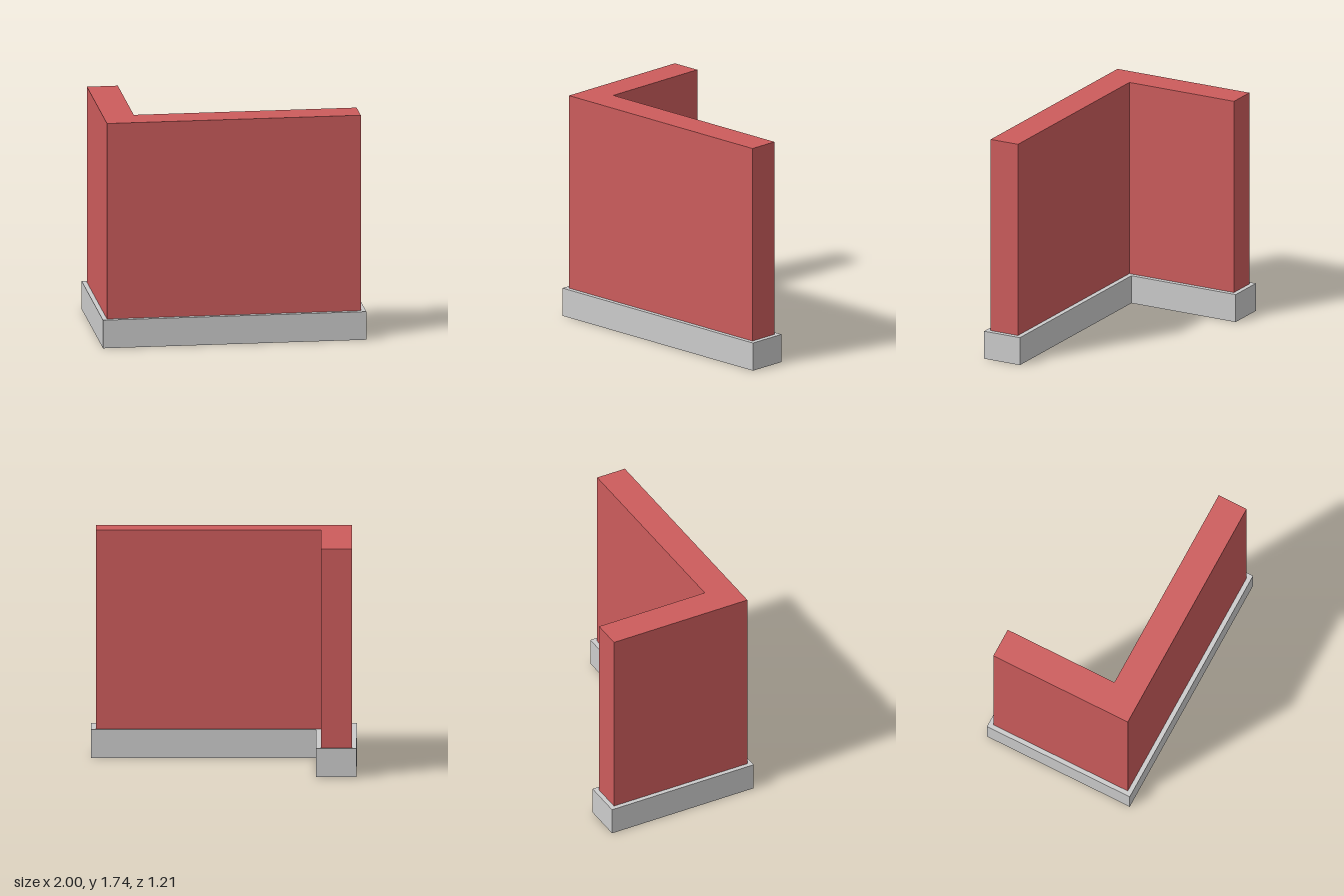
import * as THREE from 'three';
import { mergeGeometries } from 'three/addons/utils/BufferGeometryUtils.js';

// L-shaped outline as [x, z] corners, counter-clockwise seen from above
const lOutline = (x0, x1, zBack, zFront, xInner, zInner) => [
  [x0, zFront], [x1, zFront], [x1, zInner], [xInner, zInner], [xInner, zBack], [x0, zBack],
];

// Upright faces along a closed outline
function sides(outline, y0, y1) {
  return outline.map(([ax, az], i) => {
    const [bx, bz] = outline[(i + 1) % outline.length];
    return new THREE.PlaneGeometry(Math.hypot(bx - ax, bz - az), y1 - y0)
      .rotateY(Math.atan2(az - bz, bx - ax))
      .translate((ax + bx) / 2, (y0 + y1) / 2, (az + bz) / 2);
  });
}

// Horizontal face filling an outline, optionally with an opening
function cap(outline, y, opening) {
  const points = (o) => o.map(([x, z]) => new THREE.Vector2(x, -z));
  const shape = new THREE.Shape(points(outline));
  if (opening) shape.holes.push(new THREE.Path(points(opening)));
  return new THREE.ShapeGeometry(shape).rotateX(-Math.PI / 2).translate(0, y, 0);
}

function part(name, color, geometries) {
  const material = new THREE.MeshStandardMaterial({ color, side: THREE.DoubleSide });
  const mesh = new THREE.Mesh(mergeGeometries(geometries), material);
  mesh.name = name;
  return mesh;
}

export function createModel() {
  const group = new THREE.Group();
  group.name = 'cornerWall';

  const plinthTop = 0.218, wallTop = 1.735;
  const plinth = lOutline(-1, 1, -0.607, 0.607, -0.693, 0.297);
  const wall = lOutline(-0.965, 0.962, -0.571, 0.572, -0.73, 0.335);

  // Hollow plinth, open below, with a narrow ledge around the wall
  group.add(part('plinth', 0xcccccc, [
    ...sides(plinth, 0, plinthTop), cap(plinth, plinthTop, wall),
  ]));

  // Hollow brick-red wall with a closed top
  group.add(part('wall', 0xcc5c5c, [
    ...sides(wall, plinthTop, wallTop), cap(wall, wallTop),
  ]));

  return group;
}
